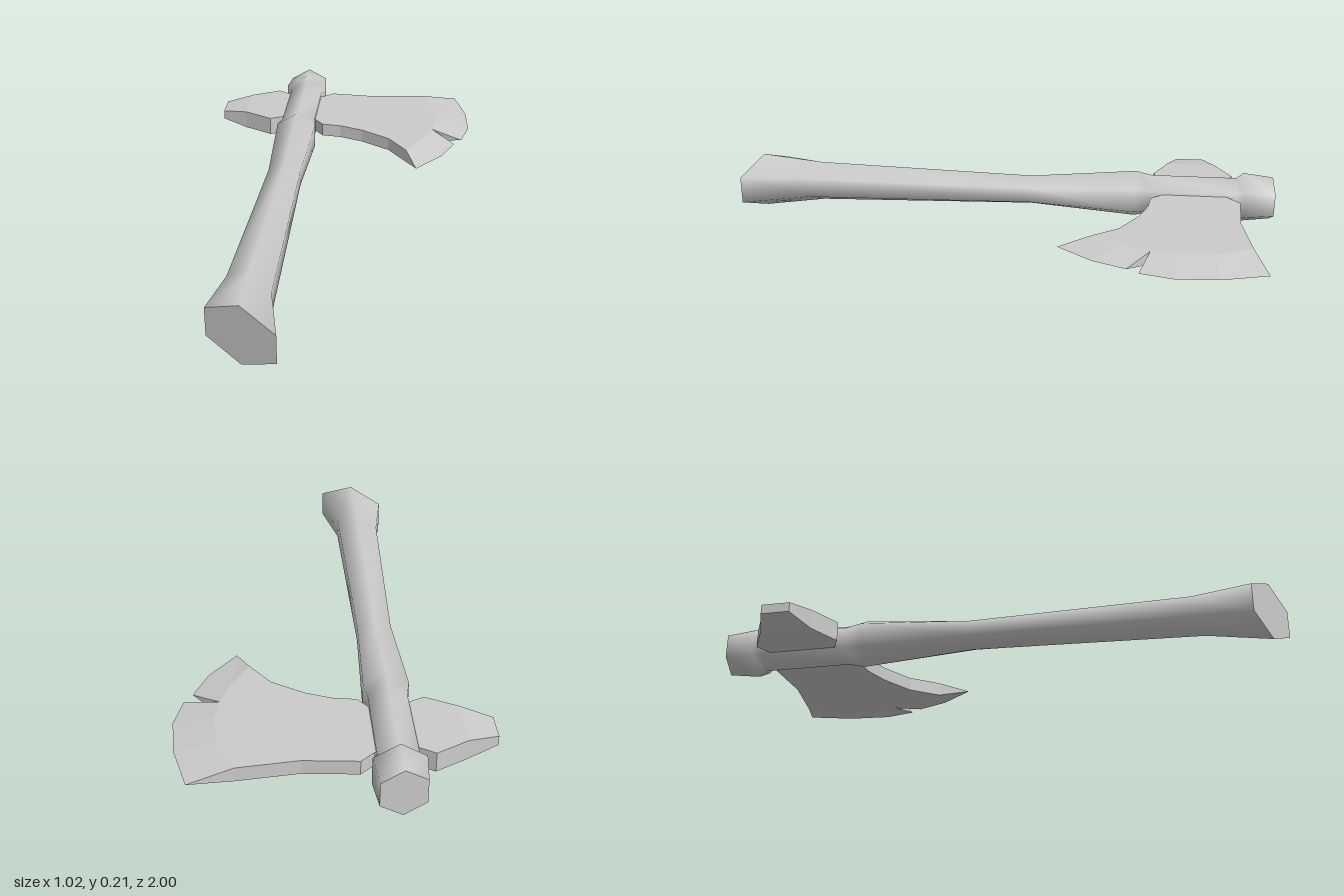
import * as THREE from 'three';

const material = new THREE.MeshStandardMaterial({ color: 0xcccccc });
const MID = 0.107; // height of the axe's middle plane

function addMesh(group, name, geometry) {
  const mesh = new THREE.Mesh(geometry, material);
  mesh.name = name;
  group.add(mesh);
}

// Skin a list of equal-sized rings (counter-clockwise seen from the far end) and cap both ends
function loft(rings, flat) {
  const n = rings[0].length;
  const last = rings.length - 1;
  const points = [...rings, rings[0], rings[last]].flat();
  const index = [];
  for (let i = 0; i < last; i++) {
    for (let j = 0; j < n; j++) {
      const a = i * n + j;
      const b = i * n + ((j + 1) % n);
      index.push(a, b, b + n, a, b + n, a + n);
    }
  }
  const start = rings.length * n;
  const end = start + n;
  for (let j = 1; j < n - 1; j++) {
    index.push(start, start + j + 1, start + j, end, end + j, end + j + 1);
  }
  let geometry = new THREE.BufferGeometry();
  geometry.setAttribute('position', new THREE.Float32BufferAttribute(points.flat(), 3));
  geometry.setIndex(index);
  if (flat) geometry = geometry.toNonIndexed();
  geometry.computeVertexNormals();
  return geometry;
}

// Six-sided handle section, skewed along z between its left and right edge
function handleRing([xL, zL, xR, zR, side, peak]) {
  const x = (xL + xR) / 2;
  const z = (zL + zR) / 2;
  return [
    [xR, MID - side, zR], [xR, MID + side, zR], [x, MID + peak, z],
    [xL, MID + side, zL], [xL, MID - side, zL], [x, MID - peak, z],
  ];
}

// Sharpened wedge from a thick inner line to a thin outer edge
function bevel(inner, outer, half) {
  const p = [];
  const top = inner.map(([x, z]) => [x, MID + half, z]);
  const bottom = inner.map(([x, z]) => [x, MID - half, z]);
  const edge = outer.map(([x, z]) => [x, MID, z]);
  const n = inner.length - 1;
  for (let i = 0; i < n; i++) {
    p.push(top[i], top[i + 1], edge[i + 1], top[i], edge[i + 1], edge[i]);
    p.push(bottom[i], edge[i + 1], bottom[i + 1], bottom[i], edge[i], edge[i + 1]);
  }
  p.push(top[0], edge[0], bottom[0], top[n], bottom[n], edge[n]);
  const geometry = new THREE.BufferGeometry();
  geometry.setAttribute('position', new THREE.Float32BufferAttribute(p.flat(), 3));
  geometry.computeVertexNormals();
  return geometry;
}

export function createModel() {
  const group = new THREE.Group();
  group.name = 'axe';

  // Handle: knob, head seat, swell, slim grip and slanted flared butt
  const sections = [
    [-0.26, -0.99, -0.115, -1.0, 0.042, 0.083],
    [-0.27, -0.885, -0.103, -0.885, 0.048, 0.097],
    [-0.25, -0.86, -0.12, -0.86, 0.038, 0.076],
    [-0.25, -0.55, -0.12, -0.55, 0.038, 0.076],
    [-0.262, -0.49, -0.11, -0.49, 0.045, 0.09],
    [-0.245, -0.1, -0.125, -0.1, 0.028, 0.056],
    [-0.27, 0.67, -0.115, 0.75, 0.037, 0.077],
    [-0.302, 0.87, -0.067, 0.995, 0.05, 0.105],
  ];
  addMesh(group, 'handle', loft(sections.map(handleRing), false));

  // Blade body: flat plate up to the bevel line
  const half = 0.025;
  const upperInner = [[0.31, -0.88], [0.365, -0.75], [0.375, -0.62], [0.36, -0.535]];
  const lowerInner = [[0.36, -0.535], [0.32, -0.43], [0.262, -0.33]];
  const outline = [
    [-0.17, -0.83], [-0.115, -0.83], [-0.07, -0.87], [0.11, -0.856],
    ...upperInner, ...lowerInner.slice(1),
    [0.19, -0.43], [0.08, -0.5], [-0.01, -0.535], [-0.085, -0.545], [-0.12, -0.59], [-0.17, -0.59],
  ];
  const plate = new THREE.ExtrudeGeometry(
    new THREE.Shape(outline.map(([x, z]) => new THREE.Vector2(x, -z))),
    { depth: half * 2, bevelEnabled: false },
  );
  plate.rotateX(-Math.PI / 2).translate(0, MID - half, 0);
  addMesh(group, 'bladePlate', plate);

  // Cutting edge, split in two by a notch
  addMesh(group, 'upperCuttingEdge',
    bevel(upperInner, [[0.455, -0.92], [0.498, -0.76], [0.508, -0.61], [0.478, -0.495]], half));
  addMesh(group, 'lowerCuttingEdge',
    bevel(lowerInner, [[0.45, -0.455], [0.4, -0.34], [0.305, -0.222]], half));

  // Rear poll: x, z from, z to, half height
  const poll = [
    [-0.512, -0.76, -0.66, 0.017],
    [-0.41, -0.8, -0.617, 0.035],
    [-0.302, -0.857, -0.56, 0.035],
    [-0.25, -0.825, -0.585, 0.035],
    [-0.2, -0.825, -0.585, 0.035],
  ].map(([x, z0, z1, h]) => [
    [x, MID + h, z0], [x, MID + h, z1], [x, MID - h, z1], [x, MID - h, z0],
  ]);
  addMesh(group, 'poll', loft(poll, true));

  return group;
}
